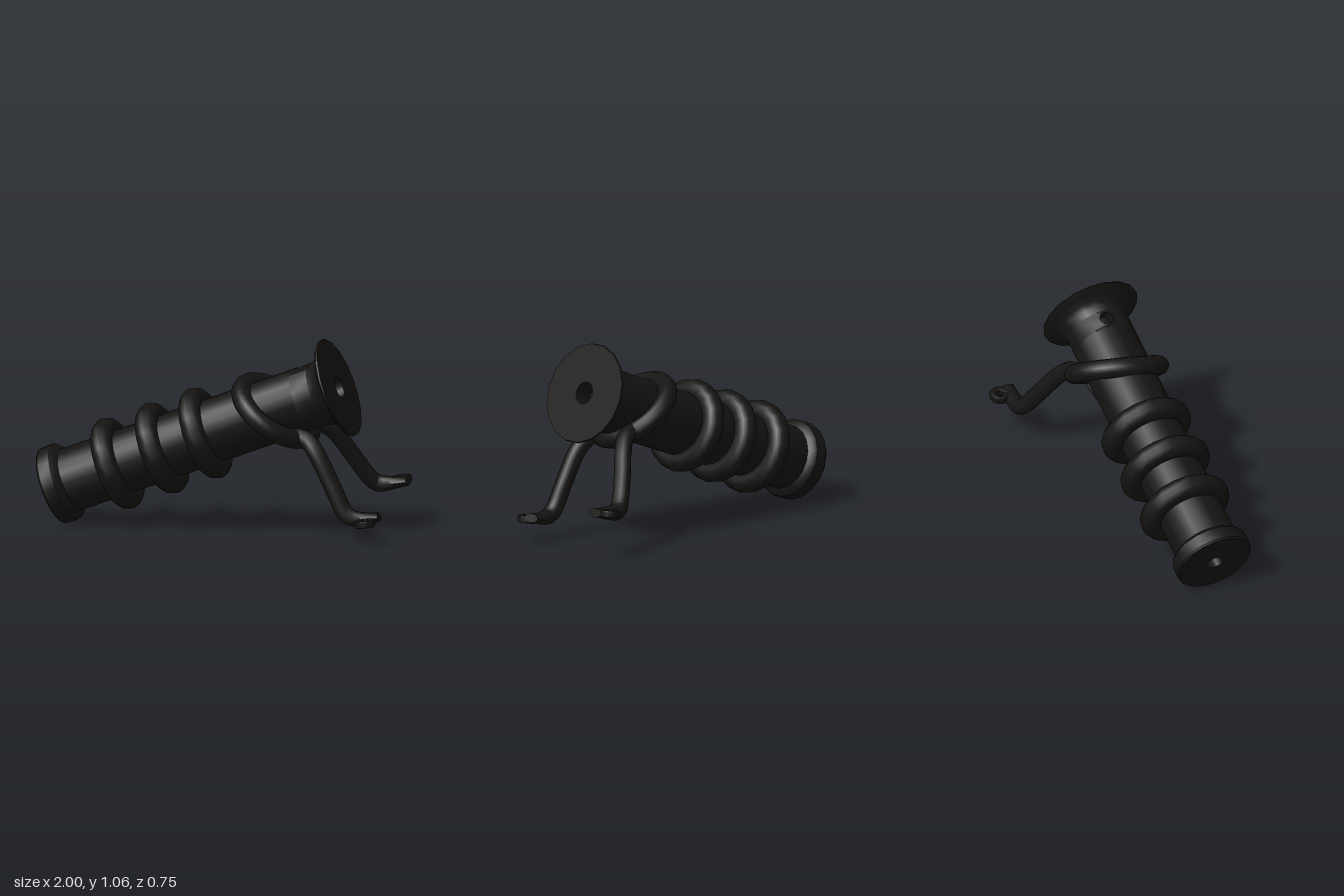
import * as THREE from 'three';
import { toCreasedNormals } from 'three/addons/utils/BufferGeometryUtils.js';

const V = (x, y, z) => new THREE.Vector3(x, y, z);
const iron = new THREE.MeshStandardMaterial({ color: 0x161412 });
const ironDouble = new THREE.MeshStandardMaterial({ color: 0x161412, side: THREE.DoubleSide });

function add(parent, name, geo, mat = iron) {
  const mesh = new THREE.Mesh(geo, mat);
  mesh.name = name;
  parent.add(mesh);
  return mesh;
}

const R = 0.175;            // barrel radius
const T0 = 1.5, T1 = 1.602; // barrel section holding the touch hole

function lathe(points, segments = 18, start = 0, length = Math.PI * 2) {
  const profile = points.map(([r, y]) => new THREE.Vector2(r, y));
  return toCreasedNormals(new THREE.LatheGeometry(profile, segments, start, length), 0.6);
}

// Curved barrel patch with a shallow round hole: square rim, hole rim, floor rim, floor centre
function touchHole() {
  const geo = new THREE.PlaneGeometry(1, 1, 24, 3);
  const p = geo.attributes.position;
  for (let i = 0; i < p.count; i++) {
    const row = Math.floor(i / 25), a = (i % 25) / 24 * Math.PI * 2;
    const c = Math.cos(a), s = Math.sin(a);
    const k = 1 / Math.max(Math.abs(c), Math.abs(s));
    const rad = row === 3 ? 0 : 0.038;
    const u = row === 0 ? c * k * R * Math.PI / 6 : c * rad;
    const t = row === 0 ? s * k * (T1 - T0) / 2 : s * rad;
    const r = row < 2 ? R : 0.13;
    p.setXYZ(i, r * Math.cos(u / R), (T0 + T1) / 2 + t, r * Math.sin(u / R));
  }
  return toCreasedNormals(geo, 0.6);
}

// Bent rod whose foot (beyond x = knee) is pressed flat and closed at the tip
function legGeometry(points, knee) {
  const n = 40, m = 10;
  const curve = new THREE.CatmullRomCurve3(points, false, 'centripetal');
  const geo = new THREE.TubeGeometry(curve, n, 0.047, m);
  const p = geo.attributes.position;
  const end = points[points.length - 1];
  for (let i = 0; i <= n; i++) {
    const centre = curve.getPointAt(i / n);
    const f = THREE.MathUtils.clamp((centre.x - knee) / (end.x - knee), 0, 1);
    for (let j = 0; j <= m; j++) {
      const q = V(0, 0, 0).fromBufferAttribute(p, i * (m + 1) + j).sub(centre);
      q.y *= 1 - 0.55 * f;
      if (i === n) q.set(0, 0, 0);
      q.add(i >= n - 1 ? end : centre);
      p.setXYZ(i * (m + 1) + j, q.x, q.y, q.z);
    }
  }
  return toCreasedNormals(geo, 0.8);
}

// Flat eyelet with a bolt hole
function eyeGeometry() {
  const shape = new THREE.Shape().absarc(0, 0, 0.055, 0, Math.PI * 2);
  shape.holes.push(new THREE.Path().absarc(0, 0, 0.018, 0, Math.PI * 2, true));
  const geo = new THREE.ExtrudeGeometry(shape, {
    depth: 0.02, bevelEnabled: true, bevelSize: 0.008, bevelThickness: 0.01,
    bevelOffset: -0.008, bevelSegments: 2, curveSegments: 9,
  });
  geo.translate(0, 0, -0.01).rotateX(-Math.PI / 2);
  return toCreasedNormals(geo, 0.7);
}

export function createModel() {
  const model = new THREE.Group();
  model.name = 'mortar';

  // Barrel frame: local y runs along the bore, local x points to the upper side
  const base = V(-0.925, 0.205, -0.11);
  const axis = V(0.665, 0.82, 0.075).sub(base).normalize();
  const upper = V(0, 1, 0).addScaledVector(axis, -axis.y).normalize();
  const barrel = new THREE.Group();
  barrel.name = 'barrel';
  barrel.position.copy(base);
  barrel.quaternion.setFromRotationMatrix(
    new THREE.Matrix4().makeBasis(upper, axis, upper.clone().cross(axis)));
  model.add(barrel);

  add(barrel, 'barrelBody', lathe([
    [0, 0.1], [0.045, 0.1], [0.045, 0], [0.208, 0], [0.215, 0.01],
    [0.215, 0.08], [0.2, 0.1], [R, 0.112], [R, T0]]));
  add(barrel, 'barrelNeck', lathe([[R, T0], [R, T1]], 15, Math.PI * 2 / 3, Math.PI * 5 / 3));
  add(barrel, 'touchHole', touchHole(), ironDouble);
  add(barrel, 'flaredMuzzle', lathe([
    [R, T1], [0.182, 1.635], [0.2, 1.664], [0.235, 1.686], [0.265, 1.697],
    [0.275, 1.706], [0.272, 1.715], [0.06, 1.715], [0.06, 1.605], [0, 1.605]]));

  // Three reinforcing rings
  for (const t of [0.383, 0.65, 0.91]) {
    const ring = add(barrel, 'reinforcingRing', new THREE.TorusGeometry(0.196, 0.061, 12, 18));
    ring.rotation.x = Math.PI / 2;
    ring.position.set(0, t, 0.015);
  }

  // Slanted hoop that carries the legs
  const centre = V(0.315, 0.675, 0.028);
  const down = V(0.178, -0.13, 0), side = V(-0.035, -0.04, 0.225);
  const hoopPoints = Array.from({ length: 18 }, (_, i) => {
    const a = i / 18 * Math.PI * 2;
    return centre.clone().addScaledVector(down, Math.cos(a)).addScaledVector(side, Math.sin(a));
  });
  add(model, 'legHoop', new THREE.TubeGeometry(
    new THREE.CatmullRomCurve3(hoopPoints, true), 36, 0.053, 12, true));

  // Two legs, each with a flattened foot and an eyelet
  const legs = [
    { name: 'leftLeg', knee: 0.75, eye: [0.845, 0.125, 0.32], points: [
      V(0.42, 0.56, 0.15), V(0.5, 0.545, 0.165), V(0.56, 0.48, 0.2), V(0.65, 0.31, 0.225),
      V(0.725, 0.165, 0.24), V(0.76, 0.14, 0.243), V(0.83, 0.137, 0.243), V(0.91, 0.15, 0.245)] },
    { name: 'rightLeg', knee: 0.83, eye: [0.94, 0.258, -0.325], points: [
      V(0.44, 0.61, -0.11), V(0.54, 0.59, -0.115), V(0.61, 0.53, -0.15), V(0.7, 0.39, -0.215),
      V(0.785, 0.265, -0.265), V(0.82, 0.242, -0.275), V(0.89, 0.245, -0.27), V(0.985, 0.26, -0.26)] },
  ];
  for (const { name, knee, eye, points } of legs) {
    const leg = new THREE.Group();
    leg.name = name;
    model.add(leg);
    add(leg, 'legRod', legGeometry(points, knee));
    const eyelet = add(leg, 'footEyelet', eyeGeometry());
    eyelet.position.set(...eye);
    eyelet.rotation.z = 0.13;
  }
  return model;
}
